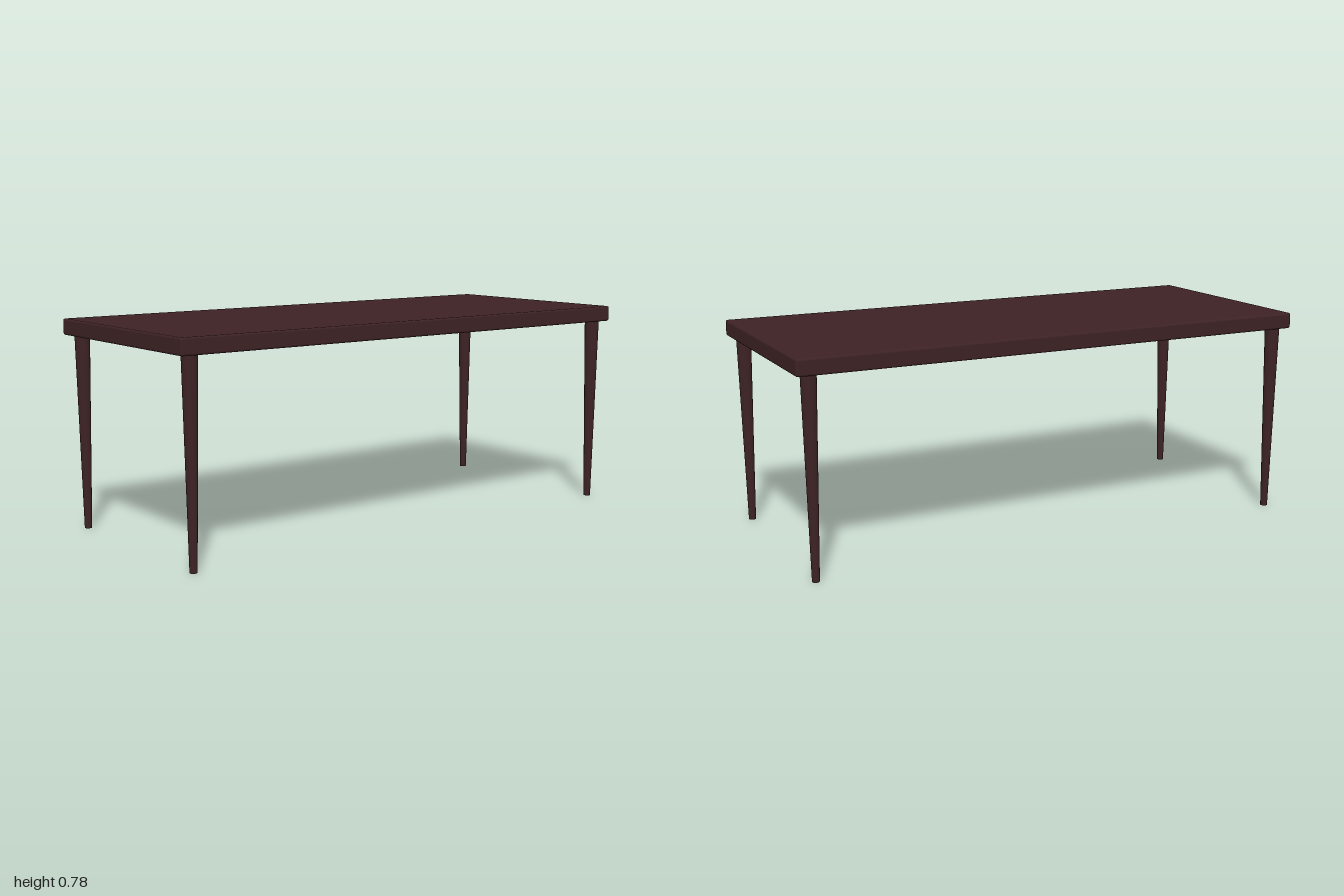
import * as THREE from 'three';
import { RoundedBoxGeometry } from 'three/addons/geometries/RoundedBoxGeometry.js';

export function createModel() {
  const table = new THREE.Group();
  table.name = 'table';
  const darkWood = new THREE.MeshStandardMaterial({ color: 0x3d2224 });
  darkWood.name = 'darkWood';

  const topHeight = 0.784, thickness = 0.06;
  const underside = topHeight - thickness;

  // Slab with softly rounded edges
  const tableTop = new THREE.Mesh(new RoundedBoxGeometry(2, thickness, 0.848, 3, 0.008), darkWood);
  tableTop.name = 'tableTop';
  tableTop.position.y = topHeight - thickness / 2;
  table.add(tableTop);

  // Four round legs tapering towards the floor, sunk slightly into the slab
  const legGeometry = new THREE.CylinderGeometry(0.028, 0.0135, underside + 0.002, 32);
  legGeometry.translate(0, (underside + 0.002) / 2, 0);
  for (const [side, x] of [['Left', 0.945], ['Right', -0.945]]) {
    for (const [end, z] of [['front', 0.38], ['back', -0.38]]) {
      const leg = new THREE.Mesh(legGeometry, darkWood);
      leg.name = `${end}${side}Leg`;
      leg.position.set(x, 0, z);
      table.add(leg);
    }
  }
  return table;
}
